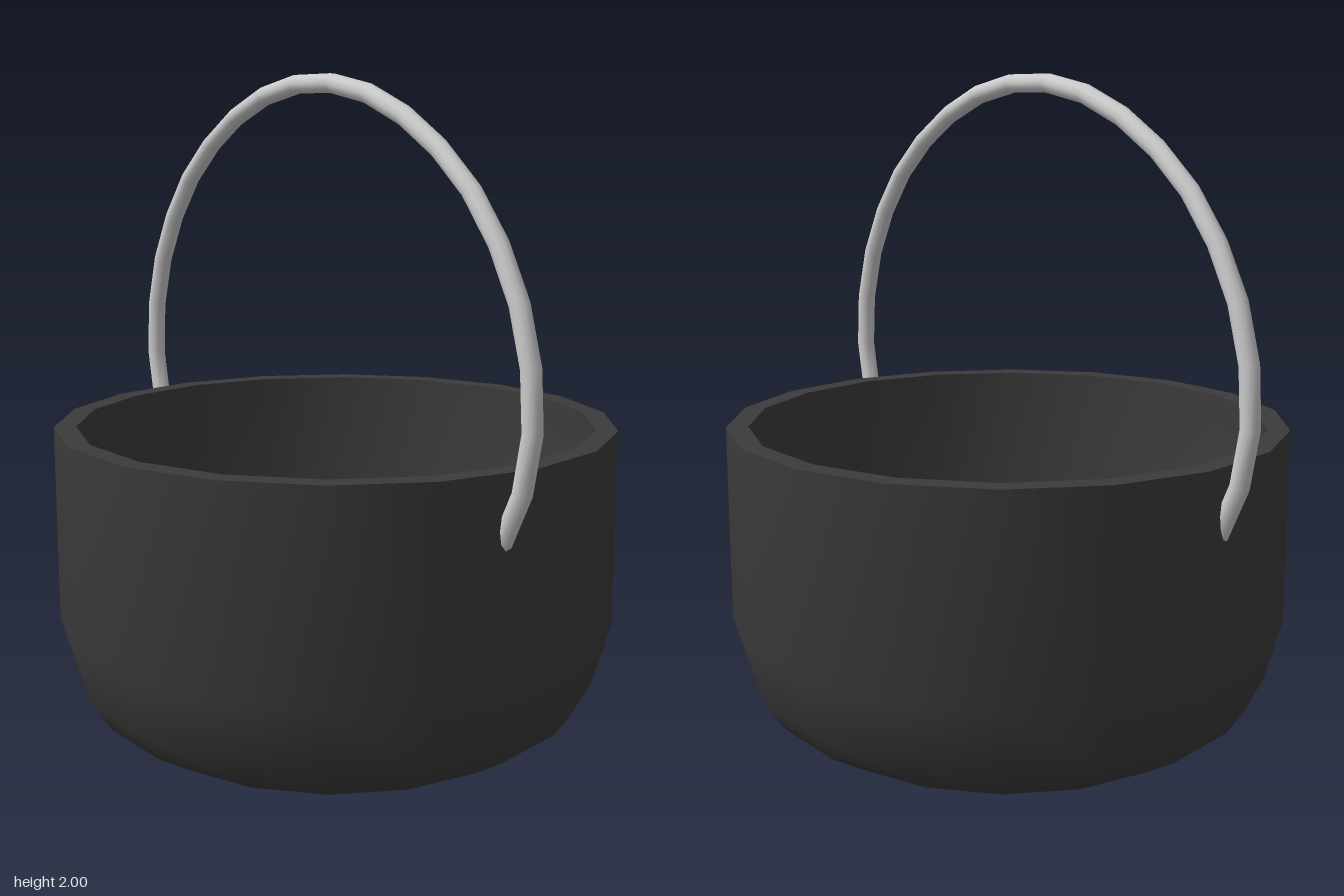
import * as THREE from 'three';
import { toCreasedNormals } from 'three/addons/utils/BufferGeometryUtils.js';

const v2 = (p) => new THREE.Vector2(p[0], p[1]);

function createPot() {
  // outer wall from the base up, over the flat rim, then down inside
  const profile = [
    [0, 0], [0.65, 0], [0.76, 0.07], [0.815, 0.15], [0.867, 0.34], [0.867, 0.945],
    [0.8, 0.945], [0.8, 0.35], [0.75, 0.19], [0.7, 0.12], [0.59, 0.065], [0, 0.065],
  ].map(v2);
  // 18 sides, turned so that a corner lies on the x axis
  const lathe = new THREE.LatheGeometry(profile, 18, Math.PI / 18);
  const material = new THREE.MeshStandardMaterial({ color: 0x3b3b3b });
  const pot = new THREE.Mesh(toCreasedNormals(lathe, 0.52), material);
  pot.name = 'pot';
  return pot;
}

function createHandle() {
  // left half of the bail, from its end in the wall to the top
  const half = [
    [0.825, 0.74], [0.907, 0.92], [0.931, 1.085], [0.917, 1.24], [0.873, 1.39], [0.797, 1.535],
    [0.695, 1.667], [0.565, 1.78], [0.415, 1.872], [0.26, 1.935], [0.09, 1.969],
  ];
  const mirrored = half.map(([x, y]) => [-x, y]).reverse();
  const points = [...half, ...mirrored].map(([x, y]) => new THREE.Vector3(x, y, 0));
  const path = new THREE.CatmullRomCurve3(points);
  const material = new THREE.MeshStandardMaterial({ color: 0xcccccc, side: THREE.DoubleSide });
  const handle = new THREE.Mesh(new THREE.TubeGeometry(path, 21, 0.029, 10), material);
  handle.position.z = 0.083;
  handle.name = 'handle';
  return handle;
}

export function createModel() {
  const model = new THREE.Group();
  model.name = 'cookingPot';
  model.add(createPot(), createHandle());
  return model;
}
